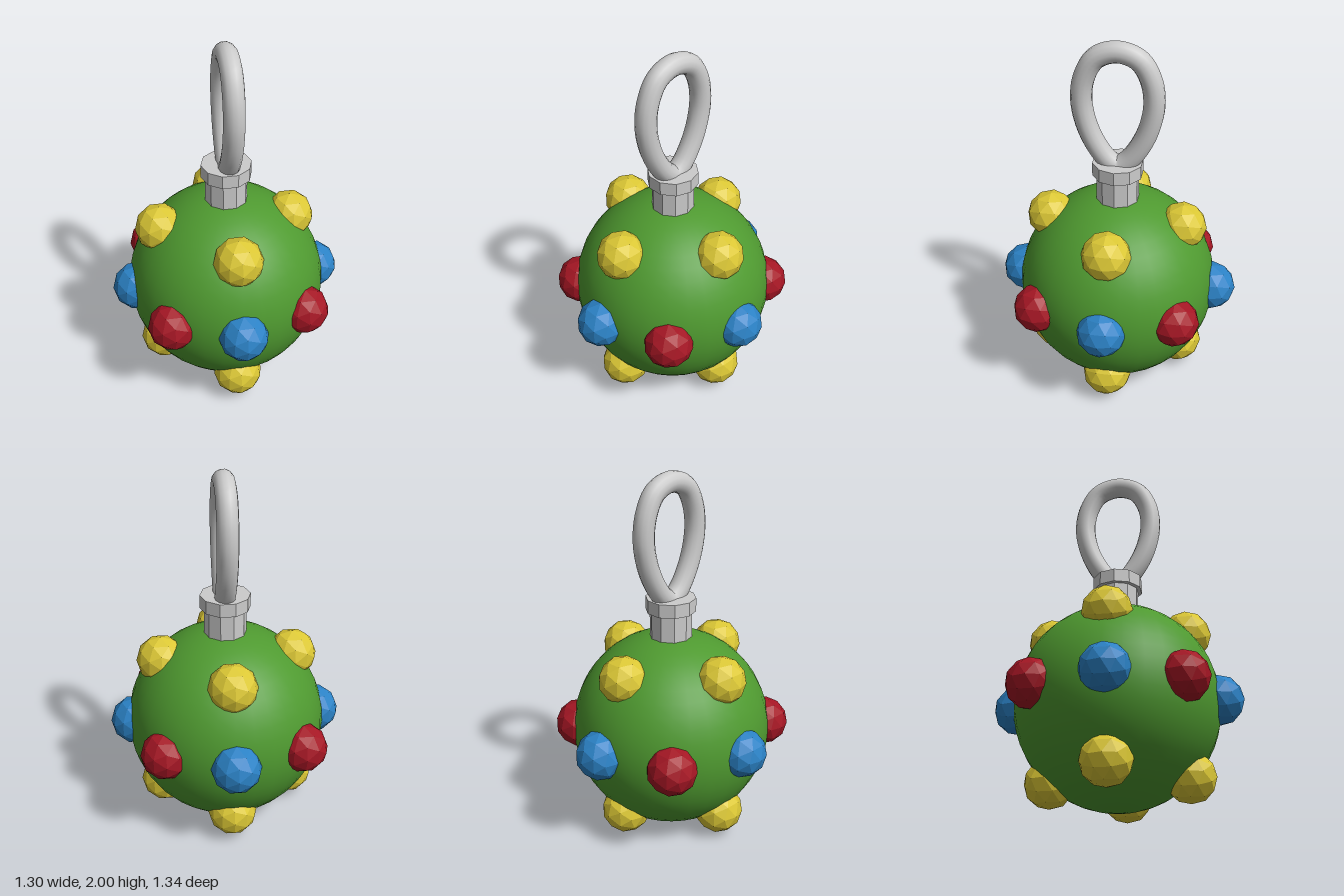
import * as THREE from 'three';

export function createModel() {
  const model = new THREE.Group();
  const mat = (color, flatShading = false) => new THREE.MeshStandardMaterial({ color, flatShading });
  const add = (name, geometry, material, x = 0, y = 0, z = 0) => {
    const mesh = new THREE.Mesh(geometry, material);
    mesh.name = name;
    mesh.position.set(x, y, z);
    model.add(mesh);
    return mesh;
  };

  // smooth ball
  add('ball', new THREE.SphereGeometry(0.55, 32, 24), mat(0x4f9a30), 0, 0.555, 0).scale.y = 1.009;

  // faceted studs: equator (blue on the axes, red between), yellow rows above and below
  const studGeometry = new THREE.IcosahedronGeometry(0.135, 1);
  const blue = mat(0x2b82c6, true);
  const red = mat(0xa51624, true);
  const yellow = mat(0xdcc835, true);
  const studs = (name, material, y, spots) =>
    spots.forEach(([x, z]) => add(name, studGeometry, material, x, y, z));

  studs('blueStud', blue, 0.565, [[0, 0.535], [0.515, 0], [0, -0.535], [-0.515, 0.015]]);
  studs('redStud', red, 0.565, [[0.37, 0.38], [0.362, -0.37], [-0.38, -0.38], [-0.36, 0.385]]);
  for (const y of [0.945, 0.155])
    studs('yellowStud', yellow, y, [[0, 0.375], [0.357, 0], [0, -0.358], [-0.37, 0]]);

  // neck and collar
  const grey = mat(0xcccccc);
  const greyFlat = mat(0xcccccc, true);
  const prism = (r, h) => new THREE.CylinderGeometry(r, r, h, 10).rotateY(Math.PI / 2);
  add('neck', prism(0.116, 0.2), greyFlat, 0.002, 1.15, 0);
  add('collar', prism(0.138, 0.075), greyFlat, 0.002, 1.283, 0);

  // teardrop hanging loop, mirrored half profile of [z, y]
  const half = [[0.11, 1.905], [0.172, 1.8], [0.19, 1.67], [0.165, 1.53], [0.112, 1.41], [0.052, 1.33]];
  const points = [[0, 1.943], ...half, [0, 1.3], ...half.map(([z, y]) => [-z, y]).reverse()];
  const path = new THREE.CatmullRomCurve3(points.map(([z, y]) => new THREE.Vector3(0.008, y, z)), true);
  add('hangingLoop', new THREE.TubeGeometry(path, 64, 0.057, 14, true), grey);

  return model;
}
